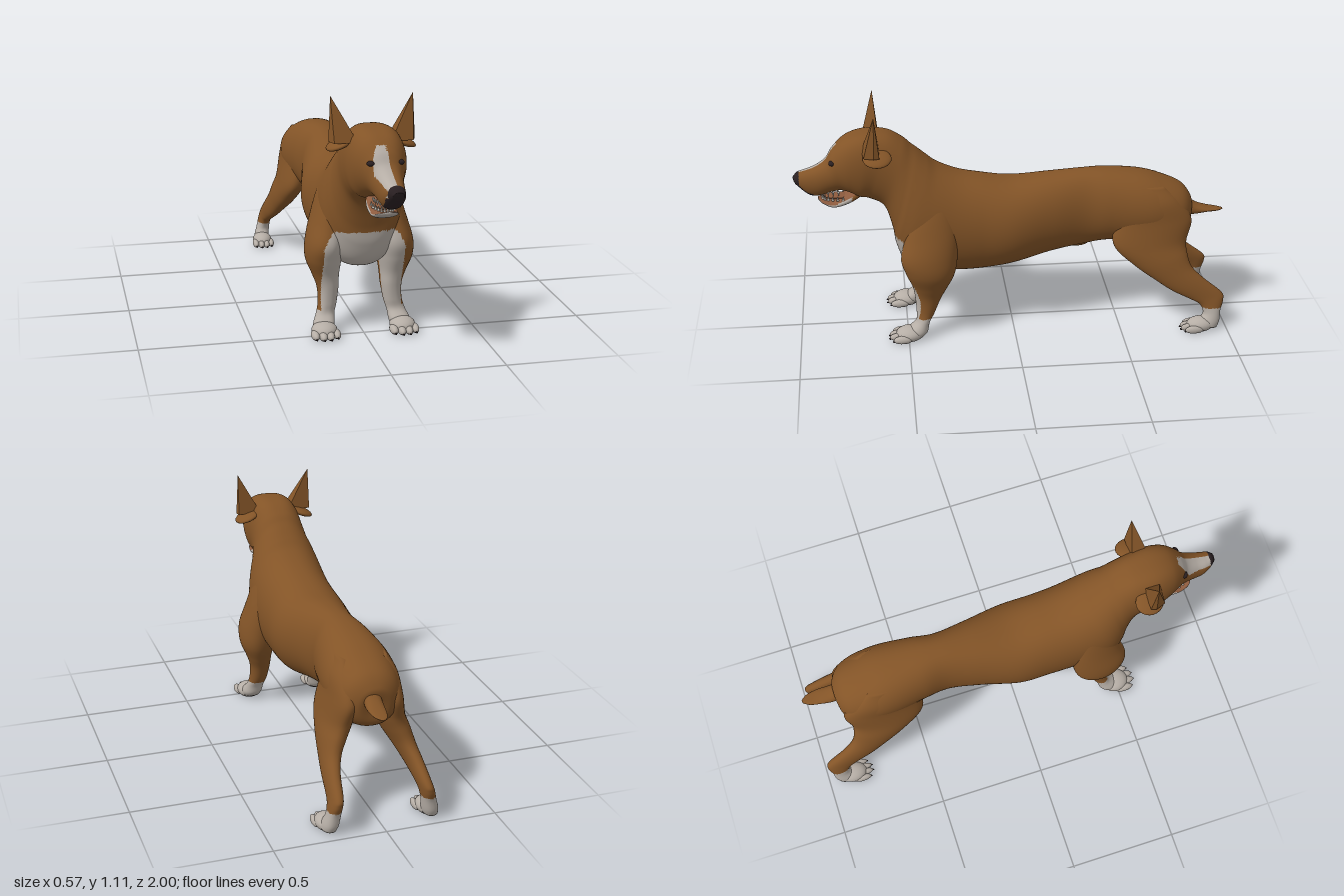
import * as THREE from 'three';
import { ConvexGeometry } from 'three/addons/geometries/ConvexGeometry.js';

const material = (name, color) => Object.assign(new THREE.MeshStandardMaterial({ color }), { name });
const brown = material('brown coat', 0x835427);
const white = material('white markings', 0xb6aea6);
const dark = material('dark nose and pads', 0x2a2022);
const ivory = material('teeth', 0xd6d0c6);
const mouthTan = material('mouth lining', 0x8d5b3e);
const palette = [brown, white, dark, mouthTan];
const BROWN = 0, WHITE = 1, DARK = 2, TAN = 3;

// Sorts triangles into colour groups; pick(centre, normal) returns a palette index
function paint(geo, pick) {
  const pos = geo.attributes.position, idx = geo.index.array;
  const lists = palette.map(() => []);
  const tri = new THREE.Triangle(), c = new THREE.Vector3(), n = new THREE.Vector3();
  for (let i = 0; i < idx.length; i += 3) {
    tri.setFromAttributeAndIndices(pos, idx[i], idx[i + 1], idx[i + 2]);
    tri.getMidpoint(c);
    tri.getNormal(n);
    lists[pick(c, n)].push(idx[i], idx[i + 1], idx[i + 2]);
  }
  geo.setIndex(lists.flat());
  let start = 0;
  lists.forEach((list, m) => {
    if (list.length) geo.addGroup(start, list.length, m);
    start += list.length;
  });
  return geo;
}

// Smooth loft through rings [z1, y1, z2, y2, halfWidth, centreX, power]:
// each ring is an oval spanning the two given points; a lower power is boxier
function loft(rings, seg = 48, sub = 8) {
  const curve = f => new THREE.CatmullRomCurve3(rings.map(f), false, 'catmullrom', 0.5);
  const A = curve(r => new THREE.Vector3(0, r[1], r[0]));
  const B = curve(r => new THREE.Vector3(0, r[3], r[2]));
  const W = curve(r => new THREE.Vector3(r[4], r[5] ?? 0, r[6] ?? 0.88));
  const rows = (rings.length - 1) * sub, pos = [], index = [];
  for (let i = 0; i <= rows; i++) {
    const a = A.getPoint(i / rows), b = B.getPoint(i / rows), w = W.getPoint(i / rows);
    const mid = a.clone().add(b).multiplyScalar(0.5), half = a.clone().sub(mid);
    for (let j = 0; j < seg; j++) {
      const t = (j / seg) * Math.PI * 2, s = Math.sin(t), k = Math.cos(t);
      const x = Math.sign(s) * Math.abs(s) ** w.z * w.x + w.y;
      pos.push(x, mid.y + half.y * k, mid.z + half.z * k);
      if (i < rows) {
        const p = i * seg + j, q = i * seg + (j + 1) % seg;
        index.push(p, p + seg, q, q, p + seg, q + seg);
      }
    }
  }
  // End caps
  [0, rows].forEach((row, e) => {
    const a = A.getPoint(e), b = B.getPoint(e), v = pos.length / 3;
    pos.push(W.getPoint(e).y, (a.y + b.y) / 2, (a.z + b.z) / 2);
    for (let j = 0; j < seg; j++) {
      const p = row * seg + j, q = row * seg + (j + 1) % seg;
      index.push(v, e ? q : p, e ? p : q);
    }
  });
  const geo = new THREE.BufferGeometry();
  geo.setAttribute('position', new THREE.Float32BufferAttribute(pos, 3));
  geo.setIndex(index);
  geo.computeVertexNormals();
  return geo;
}

const ellipsoid = (x, y, z, rx, ry, rz, seg = 20) =>
  new THREE.SphereGeometry(1, seg, seg * 0.75).scale(rx, ry, rz).translate(x, y, z);

export function createModel() {
  const dog = new THREE.Group();
  dog.name = 'dog';
  const add = (name, geo, mat, parent = dog) => {
    const mesh = new THREE.Mesh(geo, mat);
    mesh.name = name;
    parent.add(mesh);
  };

  // Torso, neck, skull and muzzle in one skin, rump to nose
  const body = loft([
    [-0.85, 0.56, -0.835, 0.50, 0.02], [-0.845, 0.60, -0.83, 0.43, 0.08],
    [-0.80, 0.655, -0.78, 0.40, 0.132], [-0.70, 0.70, -0.68, 0.39, 0.158],
    [-0.60, 0.73, -0.58, 0.385, 0.16], [-0.45, 0.748, -0.45, 0.395, 0.14],
    [-0.33, 0.748, -0.33, 0.375, 0.123], [-0.18, 0.735, -0.18, 0.35, 0.148],
    [0, 0.72, 0, 0.305, 0.185], [0.15, 0.742, 0.15, 0.283, 0.185],
    [0.25, 0.765, 0.28, 0.28, 0.186], [0.34, 0.805, 0.42, 0.29, 0.188],
    [0.39, 0.845, 0.50, 0.33, 0.18], [0.43, 0.88, 0.54, 0.42, 0.162],
    [0.46, 0.905, 0.555, 0.51, 0.145], [0.50, 0.94, 0.59, 0.62, 0.13, 0, 0.8],
    [0.57, 0.975, 0.655, 0.665, 0.126, 0, 0.68], [0.67, 0.982, 0.70, 0.68, 0.125, 0.005, 0.6],
    [0.755, 0.96, 0.74, 0.70, 0.112, 0.01, 0.68], [0.815, 0.91, 0.78, 0.71, 0.088, 0.014, 0.8],
    [0.85, 0.858, 0.82, 0.705, 0.07, 0.017, 0.8], [0.90, 0.825, 0.875, 0.69, 0.058, 0.02, 0.75],
    [0.95, 0.808, 0.918, 0.69, 0.05, 0.02, 0.75], [0.98, 0.80, 0.95, 0.712, 0.04, 0.023],
    [0.998, 0.78, 0.982, 0.745, 0.024, 0.026],
  ], 96, 12);
  const chestTop = x => 0.48 - 20 * Math.max(0, Math.abs(x) - 0.12) ** 2;
  add('body', paint(body, (c, n) => {
    if (c.z > 0.97 && c.y > 0.735) return DARK;
    if (c.z > 0.885 && c.y < 0.75 && c.x > -0.02 && c.x < 0.06 && n.z > 0.1) return DARK;
    // Blaze narrows towards the forehead and runs down the right of the nose
    const t = Math.max(0, (c.y - 0.85) / 0.08), inBlaze = c.x > -0.042 + 0.022 * t * t && c.x < 0.026 - 0.01 * t * t;
    if (c.z > 0.76 && inBlaze && c.y > 0.725 && c.y < 0.93 && n.x > -0.85 && n.y + n.z > 0.3) return WHITE;
    if (c.z > 0.44 && c.z < 0.6 && c.y > 0.30 && c.y < chestTop(c.x) && n.z > 0.1) return WHITE;
    return BROWN;
  }), palette);

  // Lower jaw, tongue and teeth
  const jaw = loft([
    [0.70, 0.715, 0.69, 0.67, 0.045, 0.005], [0.76, 0.685, 0.745, 0.643, 0.06, 0.008],
    [0.82, 0.662, 0.815, 0.626, 0.058, 0.01], [0.87, 0.667, 0.865, 0.645, 0.045, 0.012],
    [0.89, 0.672, 0.89, 0.66, 0.012, 0.012],
  ], 32);
  add('lowerJaw', paint(jaw, (c, n) => (n.y > 0.6 ? TAN : c.z > 0.735 ? WHITE : BROWN)), palette);
  add('tongue', ellipsoid(0.012, 0.674, 0.80, 0.034, 0.01, 0.065), mouthTan);
  for (let i = 0; i <= 12; i++) {
    const t = (i / 12 - 0.5) * Math.PI, fang = i === 4 || i === 8 ? 1.6 : 1;
    const x = 0.012 + 0.047 * Math.sin(t), z = 0.775 + 0.095 * Math.cos(t);
    add('lowerTooth', new THREE.ConeGeometry(0.007, 0.022 * fang, 6).translate(x, 0.676, z), ivory);
    add('upperTooth', new THREE.ConeGeometry(0.007, 0.02 * fang, 6).rotateX(Math.PI)
      .translate(x * 0.9, 0.697, z + 0.02), ivory);
  }

  // Tail and belly bump
  add('tail', loft([
    [-0.80, 0.51, -0.80, 0.62, 0.035, 0.01], [-0.86, 0.505, -0.86, 0.567, 0.04, 0.015],
    [-0.92, 0.518, -0.92, 0.543, 0.037, 0.02], [-0.97, 0.522, -0.97, 0.533, 0.027, 0.022],
    [-1, 0.524, -1, 0.529, 0.008, 0.022],
  ], 24), brown);
  add('bellyBump', ellipsoid(0, 0.377, -0.31, 0.022, 0.022, 0.06), brown);

  // Clamped paw with four toes and claws; the underside is dark
  function paw(side, name, x, z, halfWidth) {
    const group = new THREE.Group();
    group.name = name;
    dog.add(group);
    const piece = (part, geo) => {
      const p = geo.attributes.position;
      for (let i = 0; i < p.count; i++) p.setY(i, Math.max(p.getY(i), 0));
      add(part, paint(geo, (c, n) => (c.y < 0.009 && n.y < -0.55 ? DARK : WHITE)), palette, group);
    };
    piece('pawPad', ellipsoid(side * x, 0.025, z, halfWidth * 0.9, 0.036, 0.065));
    for (let i = 0; i < 4; i++) {
      const u = (i - 1.5) / 1.5, tx = side * (x + u * halfWidth * 0.74);
      const tz = z + 0.052 - 0.018 * u * u;
      piece('toe', ellipsoid(tx, 0.015, tz, halfWidth * 0.29, 0.02, 0.044));
      add('claw', ellipsoid(tx, 0.008, tz + 0.041, 0.004, 0.005, 0.008, 8), dark, group);
    }
  }

  for (const s of [1, -1]) {
    const sided = rings => rings.map(r => [...r.slice(0, 5), s * r[5]]);

    // Front leg with shoulder: white in front, brown outside and behind
    const front = loft(sided([
      [0.42, 0.73, 0.34, 0.74, 0.02, 0.11], [0.465, 0.62, 0.28, 0.66, 0.055, 0.12],
      [0.50, 0.50, 0.26, 0.54, 0.07, 0.142], [0.525, 0.41, 0.265, 0.41, 0.083, 0.158],
      [0.505, 0.335, 0.28, 0.325, 0.08, 0.162],
      [0.475, 0.26, 0.315, 0.25, 0.06, 0.153], [0.465, 0.20, 0.345, 0.19, 0.048, 0.145],
      [0.46, 0.13, 0.375, 0.12, 0.042, 0.15], [0.463, 0.085, 0.40, 0.075, 0.042, 0.162],
      [0.50, 0.05, 0.41, 0.035, 0.048, 0.172], [0.51, 0.025, 0.43, 0.012, 0.045, 0.175],
    ]), 64, 9);
    add('frontLeg', paint(front, (c, n) => {
      const marked = c.y < chestTop(c.x) && Math.abs(c.x) < 0.183 && n.z > 0.12;
      return c.y < 0.1 || marked ? WHITE : BROWN;
    }), palette);
    paw(s, 'frontPaw', 0.178, 0.495, 0.064);

    // Hind leg, thigh to hock to foot
    const hind = loft(sided([
      [-0.57, 0.69, -0.70, 0.68, 0.02, 0.09], [-0.52, 0.61, -0.78, 0.61, 0.055, 0.095],
      [-0.475, 0.51, -0.835, 0.52, 0.062, 0.102],
      [-0.47, 0.405, -0.812, 0.42, 0.064, 0.12], [-0.56, 0.315, -0.815, 0.36, 0.058, 0.145],
      [-0.66, 0.243, -0.835, 0.30, 0.044, 0.17], [-0.74, 0.19, -0.89, 0.245, 0.035, 0.188],
      [-0.82, 0.15, -0.975, 0.175, 0.03, 0.20], [-0.87, 0.122, -0.985, 0.14, 0.03, 0.207],
      [-0.89, 0.08, -0.972, 0.09, 0.032, 0.216], [-0.875, 0.05, -0.967, 0.04, 0.036, 0.225],
      [-0.86, 0.03, -0.955, 0.01, 0.036, 0.23],
    ]));
    add('hindLeg', paint(hind, c => (c.y < 0.107 ? WHITE : BROWN)), palette);
    paw(s, 'hindPaw', 0.23, -0.875, 0.053);

    // Pointed ear over a drooping flap
    const ear = [[0.178, 1.11, 0.625], [0.187, 0.915, 0.63], [0.17, 0.915, 0.675],
      [0.07, 0.915, 0.685], [0.07, 0.915, 0.605], [0.18, 0.915, 0.605]];
    add('ear', new ConvexGeometry(ear.map(p => new THREE.Vector3(s * p[0], p[1], p[2]))), brown);
    const flap = new THREE.SphereGeometry(1, 24, 16).scale(0.06, 0.018, 0.065)
      .rotateZ(-s * 0.38).translate(s * 0.138, 0.9, 0.615);
    add('earFlap', flap, brown);

    // Eye
    add('eye', ellipsoid(0.014 + s * 0.06, 0.86, 0.817, 0.02, 0.012, 0.016), dark);
  }
  return dog;
}
